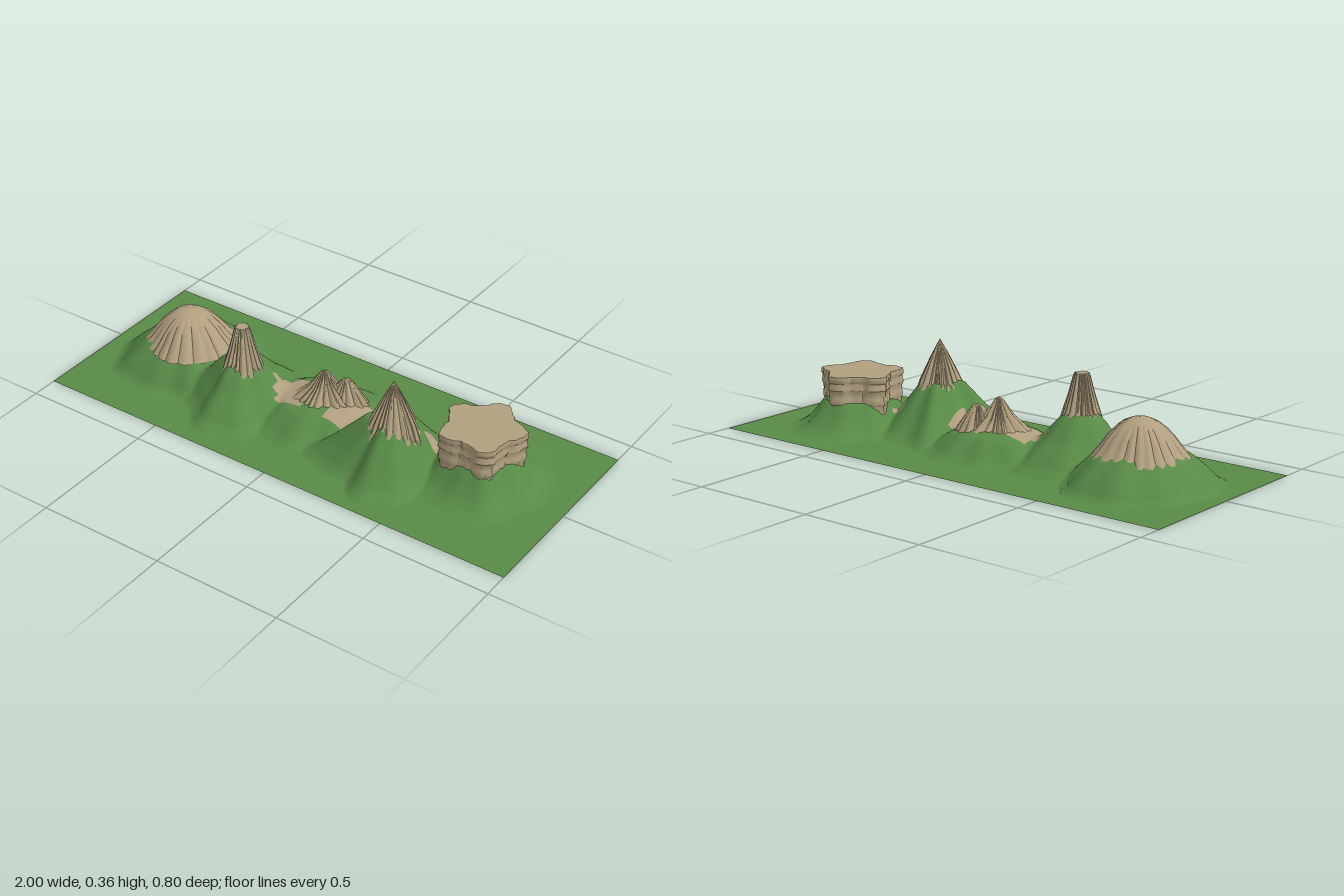
import * as THREE from 'three';
import { toCreasedNormals } from 'three/addons/utils/BufferGeometryUtils.js';

const grass = new THREE.MeshStandardMaterial({ color: 0x588a47, side: THREE.DoubleSide });
grass.name = 'grass green';
const rock = new THREE.MeshStandardMaterial({ color: 0xb09f7f, side: THREE.DoubleSide });
rock.name = 'tan rock';

// Grassy foothills: profile is [radius, height]; spurs are [angle in degrees, extra reach, width in degrees]
const hills = [
  { x: -0.65, z: -0.01, profile: [[0, 0.13], [0.125, 0.13], [0.15, 0.118], [0.18, 0.097], [0.23, 0.052], [0.265, 0.014], [0.29, 0]],
    spurs: [[130, 0.05, 25], [0, -0.12, 40], [80, -0.18, 35], [-90, 0.05, 30]] },
  { x: -0.34, z: 0.08, profile: [[0, 0.19], [0.06, 0.188], [0.09, 0.16], [0.14, 0.1], [0.18, 0.064], [0.22, 0.024], [0.265, 0]],
    spurs: [[82, 0.0, 20], [130, -0.25, 25], [25, -0.15, 25], [-80, 0.1, 40]] },
  { x: -0.01, z: -0.01, profile: [[0, 0.105], [0.1, 0.09], [0.15, 0.076], [0.19, 0.048], [0.23, 0.018], [0.27, 0]],
    spurs: [[180, 0.2, 35], [0, 0.1, 30], [60, -0.15, 25], [-100, -0.15, 35]] },
  { x: 0.345, z: 0.09, profile: [[0, 0.205], [0.075, 0.2], [0.1, 0.168], [0.14, 0.118], [0.18, 0.068], [0.22, 0.026], [0.26, 0]],
    spurs: [[160, 0.3, 15], [-120, 0.22, 13], [0, -0.23, 35], [76, 0.0, 18], [115, -0.22, 16], [35, -0.1, 16]] },
  { x: 0.64, z: -0.04, profile: [[0, 0.118], [0.13, 0.115], [0.15, 0.09], [0.17, 0.062], [0.2, 0.03], [0.23, 0.011], [0.265, 0]],
    spurs: [[60, 0.1, 14], [95, -0.05, 20], [-90, 0.1, 35], [180, -0.05, 30]] },
];

function lookUp(profile, r) {
  for (let i = 1; i < profile.length; i++) {
    const [r0, h0] = profile[i - 1], [r1, h1] = profile[i];
    if (r <= r1) return h0 + (h1 - h0) * (r - r0) / (r1 - r0);
  }
  return 0;
}

function hillHeight(hill, x, z) {
  const dx = x - hill.x, dz = z - hill.z;
  const angle = Math.atan2(dz, dx);
  let reach = 1 + 0.025 * Math.sin(angle * 9 + hill.x * 20);
  for (const [deg, extra, width] of hill.spurs) {
    const d = angle - deg * Math.PI / 180;
    const off = Math.atan2(Math.sin(d), Math.cos(d)) * 180 / Math.PI / width;
    reach += extra * Math.exp(-off * off);
  }
  return lookUp(hill.profile, Math.hypot(dx, dz) / reach);
}

// Blends the hills while leaving the flat land at zero
function landHeight(x, z) {
  let sum = 0;
  for (const hill of hills) sum += hillHeight(hill, x, z) ** 8;
  return sum ** (1 / 8);
}

// Blocky patches of bare rock on the saddle
function isBare(x, z) {
  const bx = Math.floor(x / 0.03) * 0.03 + 0.015, bz = Math.floor(z / 0.03) * 0.03 + 0.015;
  const saddle = ((bx + 0.01) / 0.225) ** 2 + ((bz - 0.015) / 0.085) ** 2 < 1 && Math.abs(x + 0.01) > 0.05;
  const ledge = Math.abs(x - 0.465) < 0.025 && Math.abs(bz + 0.01) < 0.03;
  return saddle || ledge;
}

function makeLand() {
  const geo = new THREE.PlaneGeometry(2, 0.8, 220, 88).rotateX(-Math.PI / 2);
  const p = geo.attributes.position;
  for (let i = 0; i < p.count; i++) p.setY(i, landHeight(p.getX(i), p.getZ(i)));
  geo.computeVertexNormals();
  const green = [], bare = [], index = geo.index.array;
  for (let i = 0; i < index.length; i += 6) {
    const quad = index.slice(i, i + 6);
    const x = (p.getX(quad[0]) + p.getX(quad[2])) / 2, z = p.getZ(quad[0]) + 0.004;
    (isBare(x, z) ? bare : green).push(...quad);
  }
  geo.setIndex(green.concat(bare));
  geo.addGroup(0, green.length, 0);
  geo.addGroup(green.length, bare.length, 1);
  const land = new THREE.Mesh(geo, [grass, rock]);
  land.name = 'land';
  return land;
}

// Rock cap: rings of [height, radius] from the top down, shaped by outline(angle, height);
// the hem stops just under the grass
function makeCap(name, x, z, rings, outline, segs = 120) {
  const pos = [], index = [];
  rings.forEach(([y, r], row) => {
    for (let s = 0; s < segs; s++) {
      const a = s / segs * Math.PI * 2;
      const rr = r * outline(a, y);
      const px = x + Math.cos(a) * rr, pz = z + Math.sin(a) * rr;
      pos.push(px, Math.max(y, landHeight(px, pz) - 0.004), pz);
      if (row === 0) continue;
      const next = (s + 1) % segs, up = (row - 1) * segs, low = row * segs;
      if (row > 1) index.push(up + s, up + next, low + s);
      index.push(up + next, low + next, low + s);
    }
  });
  const geo = new THREE.BufferGeometry();
  geo.setAttribute('position', new THREE.Float32BufferAttribute(pos, 3));
  geo.setIndex(index);
  const mesh = new THREE.Mesh(toCreasedNormals(geo, 0.6), rock);
  mesh.name = name;
  return mesh;
}

// Uneven vertical gullies running down a cap
const gullies = (count, depth, phase) => (a) =>
  1 + depth * (Math.abs(Math.sin(a * count / 2 + 0.9 * Math.sin(a * 3 + phase))) - 0.6)
    + depth * 0.35 * Math.sin(a * 5 + phase * 3);

export function createModel() {
  const model = new THREE.Group();
  model.name = 'landscape';
  model.add(makeLand());

  // Rounded dome
  model.add(makeCap('dome', -0.652, -0.01,
    [[0.24, 0], [0.236, 0.033], [0.223, 0.062], [0.202, 0.088], [0.17, 0.117], [0.14, 0.138], [0.12, 0.154], [0.1, 0.17]],
    gullies(22, 0.07, 0.4)));

  // Flat-topped pillar
  model.add(makeCap('pillar', -0.33, 0.08,
    [[0.332, 0], [0.332, 0.024], [0.32, 0.029], [0.26, 0.043], [0.2, 0.06], [0.165, 0.07], [0.13, 0.076]],
    gullies(18, 0.18, 1.1)));

  // Twin crags, stretched along their shared ridge
  const ridge = (count, phase) => {
    const cut = gullies(count, 0.2, phase);
    return (a) => cut(a) * (1 + 0.18 * Math.cos(2 * (a + 0.5)));
  };
  model.add(makeCap('tallCrag', -0.02, -0.008,
    [[0.212, 0], [0.203, 0.012], [0.175, 0.027], [0.14, 0.046], [0.11, 0.072], [0.085, 0.092], [0.06, 0.1]], ridge(18, 0.2)));
  model.add(makeCap('lowCrag', 0.05, -0.045,
    [[0.182, 0], [0.175, 0.014], [0.15, 0.03], [0.12, 0.046], [0.09, 0.062], [0.06, 0.07]], ridge(14, 0.9)));

  // Sharp peak
  model.add(makeCap('peak', 0.345, 0.088,
    [[0.362, 0], [0.342, 0.01], [0.3, 0.031], [0.25, 0.054], [0.2, 0.076], [0.16, 0.089], [0.12, 0.099]],
    gullies(20, 0.15, 0.7)));

  // Star-shaped mesa with layered cliffs
  const star = (a, y) => {
    const point = 0.5 + 0.5 * Math.cos(5 * (a + Math.PI / 2));
    return 0.84 + 0.25 * point ** 1.2 + 0.015 * Math.sin(a * 17 + 1) + 0.012 * Math.sin(a * 29 + y * 30);
  };
  model.add(makeCap('mesa', 0.64, -0.035,
    [[0.217, 0], [0.217, 0.147], [0.21, 0.149], [0.196, 0.148], [0.19, 0.144], [0.176, 0.146], [0.165, 0.149], [0.155, 0.144],
      [0.135, 0.143], [0.128, 0.146], [0.11, 0.146], [0.104, 0.142], [0.09, 0.142], [0.07, 0.141]],
    star));

  return model;
}
